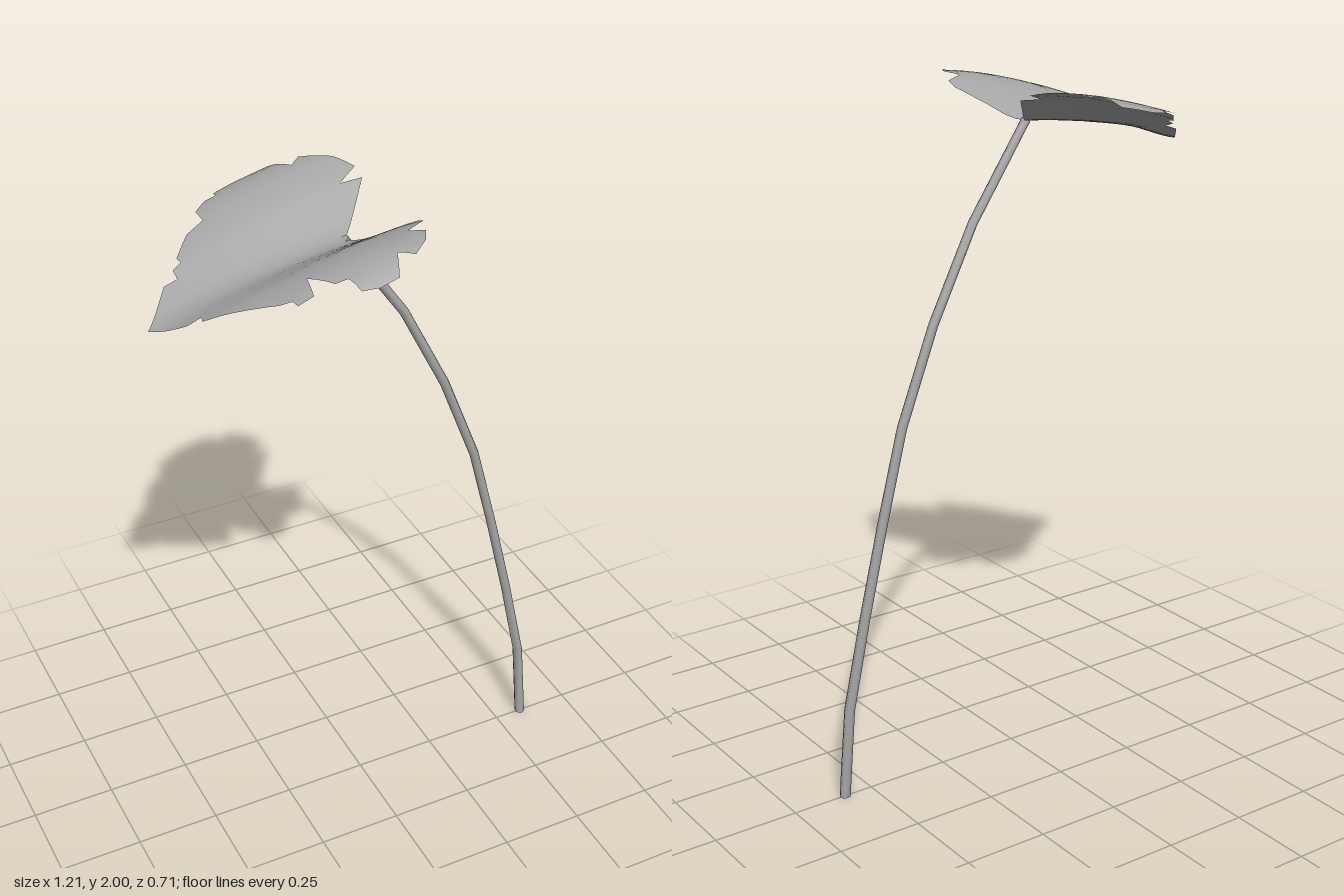
import * as THREE from 'three';
import { toCreasedNormals } from 'three/addons/utils/BufferGeometryUtils.js';

// Ragged leaf outline as [x, z], from the stem notch round the +z lobe, the tip and the -z lobe
const OUTLINE = [
  [-0.04, -0.012], [0.03, 0.065], [0.1, 0.125], [0.1, 0.155], [0.035, 0.195], [0.068, 0.228], [0.045, 0.27],
  [0, 0.305], [-0.037, 0.277], [-0.065, 0.345], [-0.12, 0.352], [-0.167, 0.343], [-0.175, 0.295],
  [-0.212, 0.29], [-0.252, 0.212], [-0.272, 0.295], [-0.317, 0.3], [-0.32, 0.275], [-0.35, 0.263],
  [-0.5, 0.13], [-0.49, 0.1], [-0.53, 0.1], [-0.605, 0.022],
  [-0.515, -0.09], [-0.477, -0.09], [-0.477, -0.12], [-0.45, -0.13], [-0.455, -0.148],
  [-0.4, -0.21], [-0.345, -0.23], [-0.345, -0.28], [-0.305, -0.312], [-0.273, -0.31], [-0.273, -0.332],
  [-0.215, -0.35], [-0.1, -0.355], [-0.063, -0.285], [-0.028, -0.318], [0.045, -0.26], [0.083, -0.2],
  [0.02, -0.162], [0.086, -0.162], [0.018, -0.08],
];

// Stem centre line and radii
const STEM = [
  [0.587, 0, 0], [0.567, 0.27, -0.006], [0.512, 0.54, -0.012], [0.449, 0.81, -0.015],
  [0.38, 1.08, -0.017], [0.273, 1.355, -0.017], [0.14, 1.62, -0.016], [-0.042, 1.885, -0.012],
].map((p) => new THREE.Vector3(...p));
const R_BOTTOM = 0.016;
const R_TOP = 0.013;

// Smooth curve through [position, value] pairs at even positions
function curve(pairs) {
  const c = new THREE.SplineCurve(pairs.map((p) => new THREE.Vector2(...p)));
  const n = pairs.length - 1, a = pairs[0][0], b = pairs[n][0];
  return (v) => c.getPoint(THREE.MathUtils.clamp((v - a) / (b - a), 0, 1)).y;
}

// Height of the midrib along x, rise of the blade away from it, and how strong that rise is along x
const midrib = curve([[-0.61, 1.772], [-0.43, 1.825], [-0.25, 1.858], [-0.07, 1.88], [0.11, 1.888]]);
const rise = curve([[0, 0], [0.06, 0.038], [0.12, 0.078], [0.18, 0.1], [0.24, 0.108], [0.3, 0.098], [0.36, 0.06]]);
const strength = curve([[-0.61, 0.45], [-0.43, 0.52], [-0.25, 0.73], [-0.07, 0.92], [0.11, 1.05]]);

function leafHeight(x, z) {
  const d = z + 0.012 + 0.057 * (x + 0.04);
  return midrib(x) + strength(x) * rise(Math.sqrt(d * d + 0.0009) - 0.03);
}

// Blade: concentric copies of the outline, lifted onto the curved surface
function leafGeometry() {
  const edge = [];
  OUTLINE.forEach(([x, z], i) => {
    const [nx, nz] = OUTLINE[(i + 1) % OUTLINE.length];
    const steps = Math.ceil(Math.hypot(nx - x, nz - z) / 0.03);
    for (let s = 0; s < steps; s++) edge.push([x + ((nx - x) * s) / steps, z + ((nz - z) * s) / steps]);
  });
  const rings = 14, n = edge.length, cx = -0.25, cz = 0;
  const positions = [], normals = [], index = [];
  const e = 0.004;
  for (let r = 0; r <= rings; r++) {
    for (const [ex, ez] of edge) {
      const x = cx + ((ex - cx) * r) / rings, z = cz + ((ez - cz) * r) / rings;
      positions.push(x, leafHeight(x, z), z);
      const normal = new THREE.Vector3(
        (leafHeight(x - e, z) - leafHeight(x + e, z)) / (2 * e), 1,
        (leafHeight(x, z - e) - leafHeight(x, z + e)) / (2 * e)).normalize();
      normals.push(normal.x, normal.y, normal.z);
    }
  }
  for (let r = 0; r < rings; r++) {
    for (let i = 0; i < n; i++) {
      const j = (i + 1) % n;
      const a = r * n + i, b = r * n + j, c = a + n, d = b + n;
      index.push(a, c, d);
      if (r > 0) index.push(a, d, b);
    }
  }
  // The outline runs clockwise seen from above, so the corners are reversed to face up
  index.reverse();
  const g = new THREE.BufferGeometry();
  g.setAttribute('position', new THREE.Float32BufferAttribute(positions, 3));
  g.setAttribute('normal', new THREE.Float32BufferAttribute(normals, 3));
  g.setIndex(index);
  return g;
}

// Stem: a cylinder whose rows are bent onto the centre line and tapered
function stemGeometry() {
  const last = STEM.length - 1;
  const g = new THREE.CylinderGeometry(1, 1, 1, 8, last);
  const pos = g.attributes.position;
  for (let i = 0; i < pos.count; i++) {
    const k = Math.round((pos.getY(i) + 0.5) * last);
    const t = STEM[Math.min(k + 1, last)].clone().sub(STEM[Math.max(k - 1, 0)]).normalize();
    if (k === 0) t.set(0, 1, 0);
    const r = THREE.MathUtils.lerp(R_BOTTOM, R_TOP, k / last);
    const u = pos.getX(i) * r, w = pos.getZ(i) * r, p = STEM[k];
    pos.setXYZ(i, p.x + u * t.y, p.y - u * t.x, p.z + w);
  }
  return toCreasedNormals(g, 0.9);
}

export function createModel() {
  const leafGrey = new THREE.MeshStandardMaterial({ color: 0xa6a6a6 });
  leafGrey.name = 'leaf grey';
  leafGrey.side = THREE.DoubleSide;

  const model = new THREE.Group();
  model.name = 'leafOnStem';
  const leaf = new THREE.Mesh(leafGeometry(), leafGrey);
  leaf.name = 'leafBlade';
  const stem = new THREE.Mesh(stemGeometry(), leafGrey);
  stem.name = 'stem';
  model.add(leaf, stem);
  return model;
}
